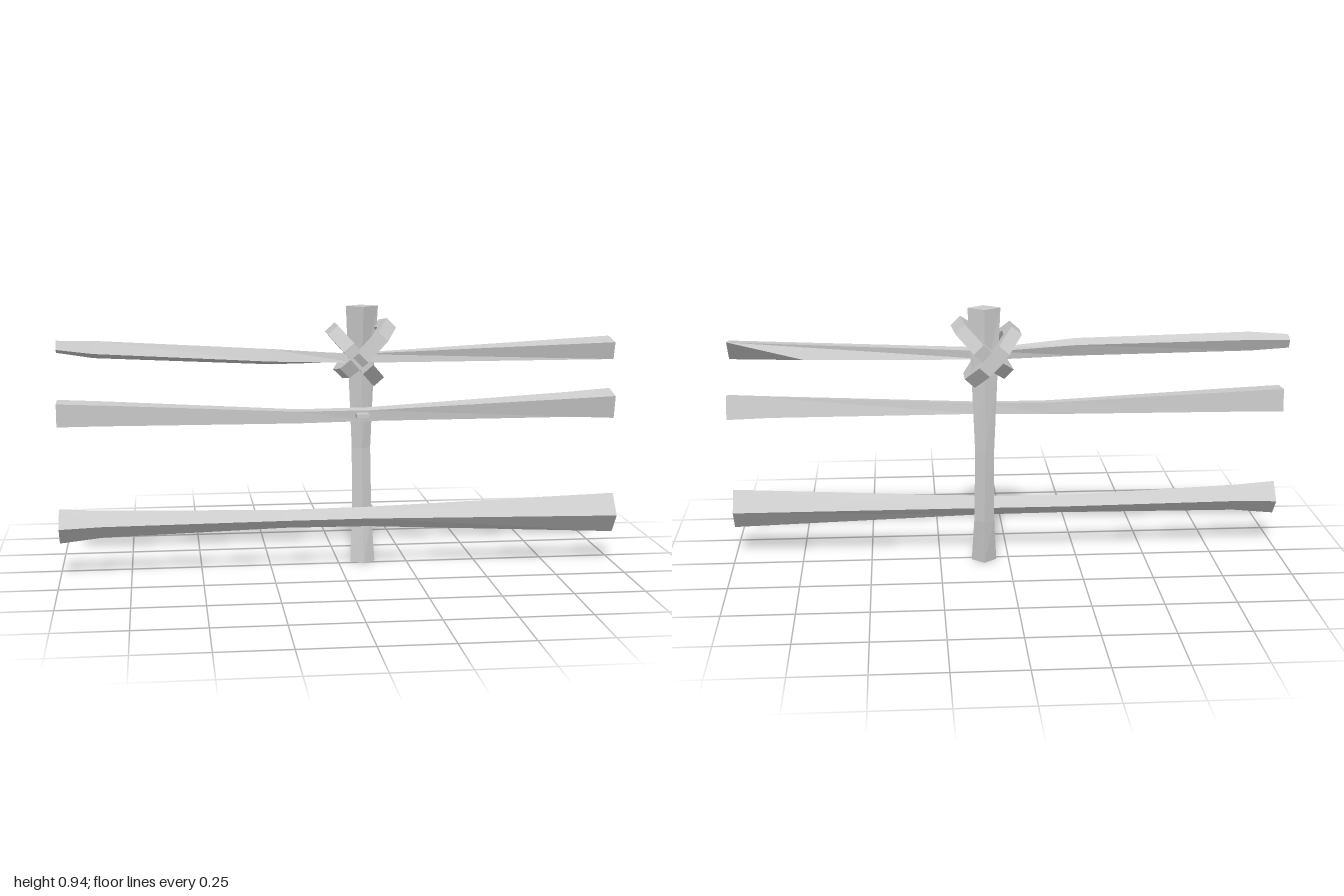
import * as THREE from 'three';

const material = new THREE.MeshStandardMaterial({ color: 0xcccccc, flatShading: true });
const V = (x, y, z) => new THREE.Vector3(x, y, z);
const X = V(1, 0, 0), Y = V(0, 1, 0), Z = V(0, 0, 1);

// Four corners around a centre, in the plane of u and v (u x v points along the part)
function section(centre, u, v, ru, rv, degrees) {
  return [0, 1, 2, 3].map((k) => {
    const a = THREE.MathUtils.degToRad(degrees + k * 90);
    return centre.clone().addScaledVector(u, ru * Math.cos(a)).addScaledVector(v, rv * Math.sin(a));
  });
}

// Skin a list of four-cornered sections, capped or closed into a loop
function loft(name, sections, closed = false) {
  const pos = [];
  const tri = (...pts) => pts.forEach((p) => pos.push(p.x, p.y, p.z));
  const n = sections.length;
  for (let i = 0; i < (closed ? n : n - 1); i++) {
    const s = sections[i], t = sections[(i + 1) % n];
    for (let j = 0; j < 4; j++) {
      const k = (j + 1) % 4;
      tri(s[j], s[k], t[k], s[j], t[k], t[j]);
    }
  }
  if (!closed) {
    const s = sections[0], e = sections[n - 1];
    tri(s[0], s[2], s[1], s[0], s[3], s[2]);
    tri(e[0], e[1], e[3], e[1], e[2], e[3]);
  }
  const geo = new THREE.BufferGeometry();
  geo.setAttribute('position', new THREE.Float32BufferAttribute(pos, 3));
  geo.computeVertexNormals();
  const mesh = new THREE.Mesh(geo, material);
  mesh.name = name;
  return mesh;
}

// Rail rows: x, y, z, radius in y, radius in z, twist.
// The cut slants the last end by pulling its lower back corner inwards.
function rail(name, rows, cut = 0) {
  const sections = rows.map(([x, y, z, ry, rz, a]) => section(V(x, y, z), Y, Z, ry, rz, a));
  sections[sections.length - 1][2].x -= cut;
  return loft(name, sections);
}

// Square rope loop standing in a plane spanned by z and a diagonal
function ropeLoop(name, centre, tilt, radius, depth, start) {
  const d = V(Math.cos(tilt), Math.sin(tilt), 0);
  const side = new THREE.Vector3().crossVectors(d, Z);
  const sides = 8, rings = [];
  for (let i = 0; i < sides; i++) {
    const a = start + (i / sides) * Math.PI * 2;
    const out = d.clone().multiplyScalar(Math.cos(a)).addScaledVector(Z, Math.sin(a));
    const c = centre.clone()
      .addScaledVector(d, radius * Math.cos(a)).addScaledVector(Z, depth * Math.sin(a));
    rings.push(section(c, side, out, 0.034, 0.032, 45));
  }
  return loft(name, rings, true);
}

export function createModel() {
  const model = new THREE.Group();
  model.name = 'fenceSection';

  // Slightly bowed upright, diamond in section
  const postRows = [
    [0, 0.09, -0.02, 0.045, 0.04],
    [0.16, 0.09, -0.044, 0.036, 0.026],
    [0.42, 0.088, -0.053, 0.034, 0.023],
    [0.7, 0.087, -0.046, 0.046, 0.026],
    [0.94, 0.087, -0.028, 0.058, 0.044],
  ];
  model.add(loft('post', postRows.map(([y, x, z, rx, rz]) => section(V(x, y, z), Z, X, rz, rx, 0))));

  // Rails, flared towards their ends
  model.add(rail('bottomRail', [
    [-1, 0.183, 0.077, 0.062, 0.054, 0],
    [-0.85, 0.186, 0.073, 0.049, 0.045, 0],
    [-0.2, 0.183, 0.052, 0.033, 0.033, 0],
    [0.1, 0.184, 0.053, 0.036, 0.034, 0],
    [1, 0.183, 0.082, 0.072, 0.057, 0],
  ]));
  model.add(rail('middleRail', [
    [-1, 0.578, 0.028, 0.058, 0.056, 48],
    [-0.85, 0.575, 0.03, 0.053, 0.052, 48],
    [-0.15, 0.555, 0.046, 0.03, 0.03, 48],
    [0.1, 0.558, 0.045, 0.028, 0.028, 52],
    [0.85, 0.578, 0.032, 0.05, 0.055, 56],
    [1, 0.58, 0.03, 0.06, 0.061, 57],
  ]));
  model.add(rail('topRail', [
    [-1, 0.806, -0.037, 0.024, 0.026, 20],
    [-0.87, 0.799, 0, 0.034, 0.036, 20],
    [-0.25, 0.773, 0.066, 0.032, 0.036, 25],
    [0.05, 0.76, 0.035, 0.022, 0.036, 40],
    [0.99, 0.785, 0.036, 0.046, 0.066, 57],
  ], 0.27));

  // Two crossed rope loops lashing the top rail to the post
  model.add(ropeLoop('ropeLoopLeft', V(0.092, 0.79, 0.005), Math.PI / 4, 0.112, 0.103, 0.2));
  model.add(ropeLoop('ropeLoopRight', V(0.057, 0.768, -0.008), Math.PI * 0.73, 0.113, 0.107, 0.4));

  // Small peg at the middle rail
  const peg = new THREE.Mesh(new THREE.BoxGeometry(0.045, 0.014, 0.05), material);
  peg.name = 'peg';
  peg.position.set(0.075, 0.56, 0.078);
  model.add(peg);

  return model;
}
